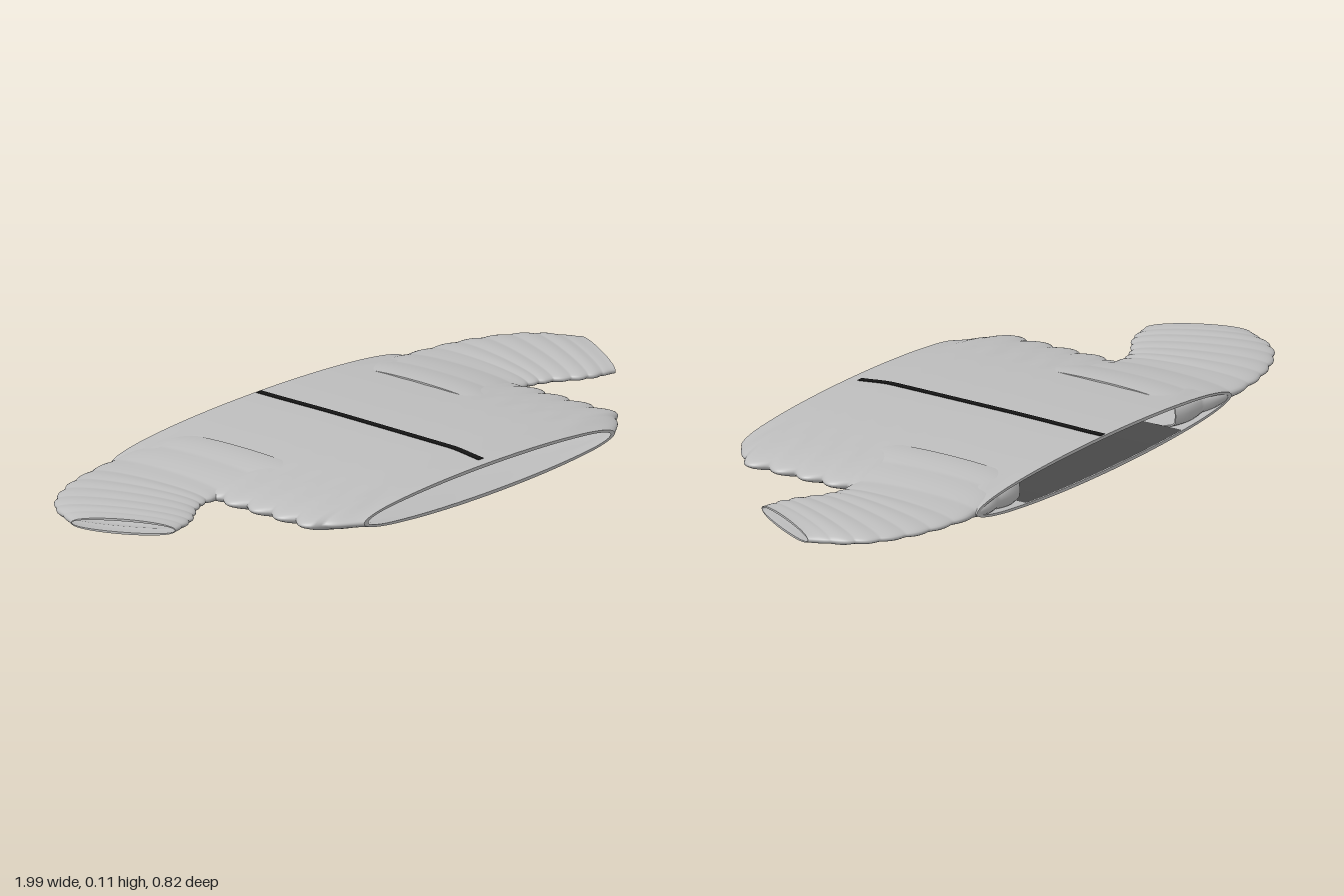
import * as THREE from 'three';
import { ParametricGeometry } from 'three/addons/geometries/ParametricGeometry.js';

const MID = 0.0615; // height of the garment's middle plane
const smooth = THREE.MathUtils.smoothstep;
const lerp = THREE.MathUtils.lerp;

const knit = new THREE.MeshStandardMaterial({ color: 0xbdbdbd, side: THREE.DoubleSide });
knit.name = 'light grey knit';
const black = new THREE.MeshStandardMaterial({ color: 0x151515 });
black.name = 'black zip';
const dark = new THREE.MeshStandardMaterial({ color: 0x484848, side: THREE.DoubleSide });
dark.name = 'dark lining';

// Outer, inner and rim surfaces of an open tube; at(angle, t, inset, target) gives its points
function shell(name, at, around, along, wall) {
  const group = new THREE.Group();
  group.name = name;
  const add = (part, fn, rows) => {
    const mesh = new THREE.Mesh(new ParametricGeometry(fn, around, rows), knit);
    mesh.name = name + part;
    group.add(mesh);
  };
  add('Outside', (u, v, p) => at(u * Math.PI * 2, v, 0, p), along);
  add('Inside', (u, v, p) => at(-u * Math.PI * 2, v, wall, p), along);
  for (const end of [0, 1]) {
    add(end ? 'EndRim' : 'StartRim', (u, v, p) => at(u * Math.PI * 2, end, v * wall, p), 1);
  }
  return group;
}

// Body: scalloped sides, narrowing into the front hem
const bodyHalfHeight = (z) => 0.056 - 0.011 * smooth(z, 0.27, 0.41) - 0.003 * smooth(-z, 0.1, 0.4);
function bodyHalfWidth(z) {
  const fold = 0.026 * Math.abs(Math.sin((Math.PI * z) / 0.085));
  const side = 0.585 + fold * smooth(z, -0.1, 0.02);
  const taper = Math.max(0, (z - 0.325) / 0.085);
  return lerp(side - 0.012 * smooth(-z, 0.2, 0.4), 0.49, Math.min(1, taper));
}
function bodyPoint(a, t, inset, p) {
  const z = lerp(-0.405, 0.41, t);
  const x = (bodyHalfWidth(z) - inset * 1.8) * Math.cos(a);
  const fold = 0.004 * Math.cos((2 * Math.PI * z) / 0.085) * smooth(Math.abs(x), 0.33, 0.45);
  const y = (bodyHalfHeight(z) - inset + fold) * Math.sin(a);
  p.set(x, MID + y, z);
}

// Sleeve: spans between a shoulder edge and an underarm edge
const curve = (pts) => new THREE.CatmullRomCurve3(pts.map(([x, z]) => new THREE.Vector3(x, 0, z)));
const shoulder = curve([[0.35, -0.385], [0.6, -0.4], [0.78, -0.365], [0.92, -0.285], [0.995, -0.165]]);
const underarm = curve([[0.35, 0.11], [0.6, -0.02], [0.68, -0.005], [0.77, 0.05], [0.86, 0.08]]);
const power = (v, e) => Math.sign(v) * Math.abs(v) ** e;
function sleevePoint(side) {
  return (a, t, inset, p) => {
    const o = shoulder.getPoint(t);
    const i = underarm.getPoint(t);
    const ripple = Math.abs(Math.sin(t * Math.PI * 9)) * (1 - smooth(t, 0.85, 1));
    const half = 0.5 + 0.018 * ripple - inset;
    const k = 0.5 + half * Math.cos(a);
    const thick = lerp(0.049, 0.021, smooth(t, 0, 0.3)) + 0.003 * ripple - inset;
    const x = lerp(o.x, i.x, k);
    const z = lerp(o.z, i.z, k);
    p.set(side * x, MID + thick * power(Math.sin(a), lerp(0.45, 0.85, smooth(t, 0, 0.4))), z);
  };
}

export function createModel() {
  const model = new THREE.Group();
  model.name = 'sweater';
  model.add(shell('body', bodyPoint, 96, 110, 0.009));
  model.add(shell('leftSleeve', sleevePoint(1), 48, 80, 0.006));
  model.add(shell('rightSleeve', sleevePoint(-1), 48, 80, 0.006));

  // Zip follows the upper face of the body
  const zipShape = new THREE.BoxGeometry(0.02, 0.013, 0.78, 1, 1, 40);
  const pos = zipShape.attributes.position;
  for (let n = 0; n < pos.count; n++) {
    const z = pos.getZ(n) - 0.01;
    pos.setXYZ(n, pos.getX(n), pos.getY(n) + MID + bodyHalfHeight(z) - 0.005, z);
  }
  zipShape.computeVertexNormals();
  const zip = new THREE.Mesh(zipShape, black);
  zip.name = 'zip';
  model.add(zip);

  // Neck lining lies on the inside of the lower panel
  const liningShape = new ParametricGeometry((u, v, p) => {
    const z = lerp(-0.404, -0.16, v);
    const x = lerp(0.35, -0.35, u);
    const drop = Math.sqrt(1 - (x / (bodyHalfWidth(z) - 0.016)) ** 2);
    p.set(x, MID - (bodyHalfHeight(z) - 0.011) * drop, z);
  }, 24, 8);
  const lining = new THREE.Mesh(liningShape, dark);
  lining.name = 'neckLining';
  model.add(lining);
  return model;
}
